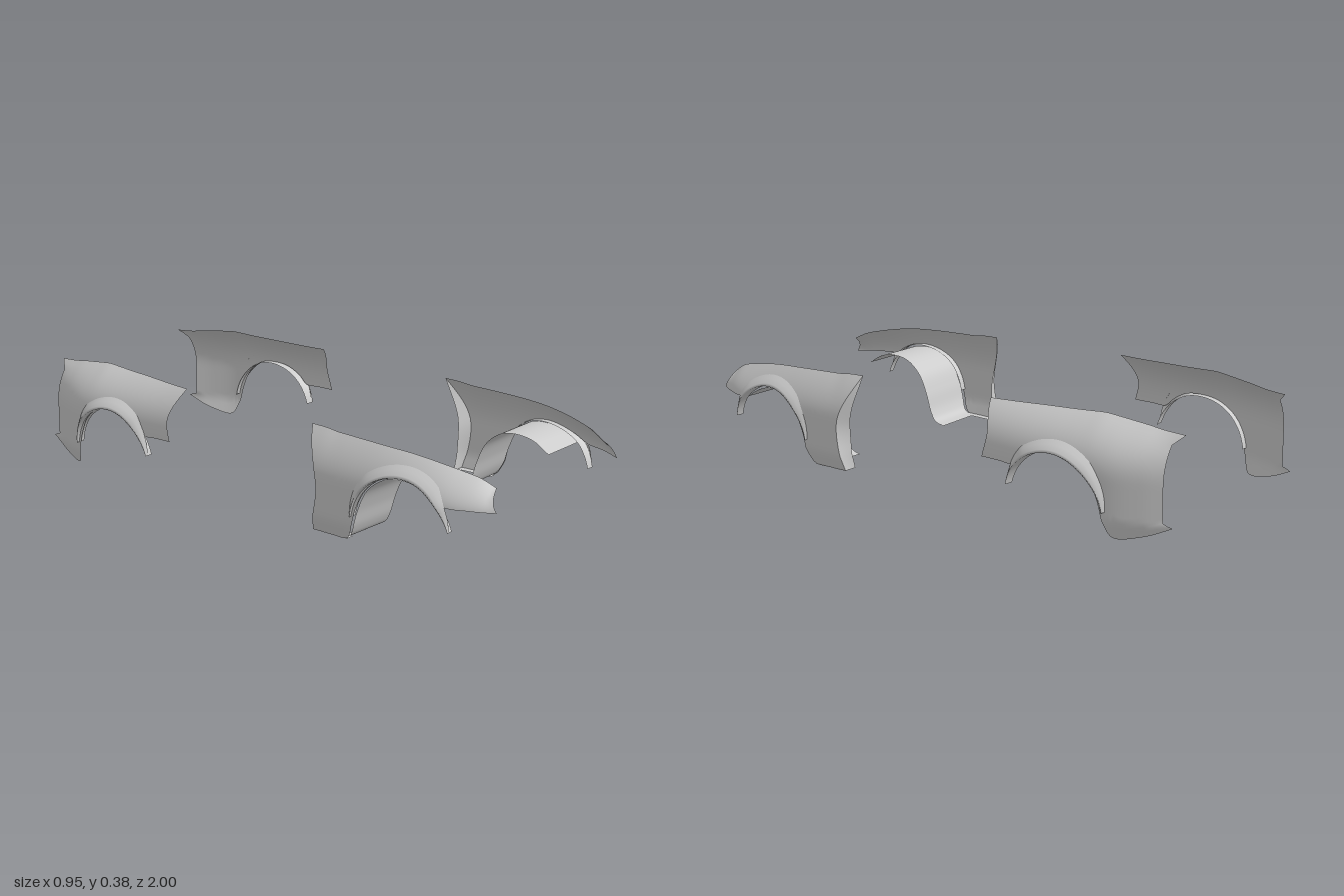
import * as THREE from 'three';

const material = new THREE.MeshStandardMaterial({ color: 0xcccccc, side: THREE.DoubleSide });

// Smooth surface from a rule fn(u, v) -> [x, y, z]
function sheet(name, nu, nv, fn) {
  const pos = [], idx = [], w = nv + 1;
  for (let i = 0; i <= nu; i++) for (let j = 0; j <= nv; j++) pos.push(...fn(i / nu, j / nv));
  for (let i = 0; i < nu; i++) for (let j = 0; j < nv; j++) {
    const a = i * w + j, b = a + w;
    idx.push(a, b, a + 1, b, b + 1, a + 1);
  }
  const geo = new THREE.BufferGeometry();
  geo.setAttribute('position', new THREE.Float32BufferAttribute(pos, 3));
  geo.setIndex(idx);
  geo.computeVertexNormals();
  const mesh = new THREE.Mesh(geo, material);
  mesh.name = name;
  return mesh;
}

// Curve through [z, y] pairs
const rail = pts => new THREE.CatmullRomCurve3(pts.map(([z, y]) => new THREE.Vector3(0, y, z)));

// Value at z from [z, value] stops listed by falling z, smoothed between stops
function plan(stops) {
  const curve = new THREE.CatmullRomCurve3(stops.map(([z, x]) => new THREE.Vector3(x, 0, z)));
  const samples = curve.getPoints(150);
  return z => {
    if (z >= samples[0].z) return samples[0].x;
    for (let i = 1; i < samples.length; i++) {
      const a = samples[i - 1], b = samples[i];
      if (z >= b.z) return a.x + (b.x - a.x) * (a.z - z) / (a.z - b.z || 1);
    }
    return samples[samples.length - 1].x;
  };
}

// Side panel position across the car: upright below, rolled inward above, tucked at the sill
function bodyRule(outer, inner, top, power) {
  return (y, z) => {
    const t = THREE.MathUtils.clamp((y - 0.19) / (top(z) - 0.19), 0, 1);
    const tuck = Math.max(0, 0.065 - y) * 0.3;
    return outer(z) - (outer(z) - inner(z)) * t ** power - tuck;
  };
}

// Panel skin spanning a lower, middle and upper rail; tab lengthens the rear corners
function panel(name, rails, bodyX, tab) {
  const curves = rails.map(rail);
  return sheet(name, 96, 20, (u, v) => {
    const section = new THREE.CatmullRomCurve3(curves.map(c => c.getPoint(u)));
    const p = section.getPoint(v);
    const corner = Math.max(0, Math.abs(2 * v - 1) - 0.8) / 0.2;
    const x = bodyX(p.y, p.z);
    return [x, p.y + (v < 0.5 ? 0.6 : 0) * tab * corner * u ** 30, p.z - tab * corner * u ** 30];
  });
}

// Wheel arch flare: inner return, lip, and a blend back into the panel
function flare(name, cz, bodyX, bulge) {
  const cy = 0.07, r = 0.189, rad = THREE.MathUtils.degToRad;
  return sheet(name, 48, 4, (u, v) => {
    const a = rad(15 + 157 * u), s = Math.sin(Math.PI * u);
    const width = 0.036 * Math.min(1, u * 4) * Math.min(1, (1 - u) * 3 + 0.15);
    const k = Math.round(v * 4);
    const rr = r + [-0.003, 0, 0.25, 0.65, 1][k] * (k ? width : 1);
    const y = cy + rr * Math.sin(a), z = cz + rr * Math.cos(a);
    const out = (bulge * (0.45 + 0.55 * s)) * [0, 1, 0.95, 0.5, 0][k];
    return [bodyX(y, z) + (k ? out : -0.022), y, z];
  });
}

function frontFender() {
  const g = new THREE.Group();
  g.name = 'frontFender';
  const low = [[1, 0.195], [0.92, 0.197], [0.845, 0.2], [0.8, 0.225], [0.74, 0.25], [0.68, 0.258], [0.6, 0.235],
    [0.55, 0.19], [0.515, 0.12], [0.495, 0.05], [0.47, 0.012], [0.4, 0.008], [0.325, 0.008]];
  const mid = [[0.985, 0.222], [0.92, 0.24], [0.848, 0.25], [0.8, 0.27], [0.74, 0.288], [0.68, 0.295], [0.6, 0.29],
    [0.545, 0.27], [0.5, 0.235], [0.465, 0.2], [0.43, 0.18], [0.385, 0.18], [0.348, 0.18]];
  const top = [[0.97, 0.26], [0.92, 0.285], [0.85, 0.303], [0.8, 0.313], [0.74, 0.323], [0.68, 0.33], [0.6, 0.335],
    [0.54, 0.338], [0.49, 0.34], [0.44, 0.342], [0.39, 0.344], [0.34, 0.35], [0.28, 0.352]];
  const outer = plan([[1, 0.365], [0.95, 0.395], [0.86, 0.43], [0.7, 0.445], [0.5, 0.448], [0.28, 0.445]]);
  const inner = plan([[0.97, 0.322], [0.88, 0.345], [0.78, 0.365], [0.6, 0.38], [0.4, 0.378], [0.28, 0.376]]);
  const bodyX = bodyRule(outer, inner, plan(top), 1.8);
  g.add(panel('frontFenderSkin', [low, mid, top], bodyX, 0));
  g.add(flare('frontArchFlare', 0.685, bodyX, 0.016));

  // Flange turned inward along the door opening
  const edge = new THREE.CatmullRomCurve3([low, mid, top].map(r => new THREE.Vector3(0, r[12][1], r[12][0])));
  g.add(sheet('doorFlange', 20, 2, (u, v) => {
    const p = edge.getPoint(u), s = Math.sin(Math.PI * u);
    return [bodyX(p.y, p.z) - 0.05 * v * (1 - u ** 3), p.y, p.z - 0.025 * v * s];
  }));

  // Sill return under the rear lower corner
  g.add(sheet('sillReturn', 4, 1, (u, v) => {
    const z = 0.325 + 0.145 * u;
    return [bodyX(0.01, z) - 0.03 * v, 0.009, z];
  }));

  // Inner wheel housing
  const arch = rail([[0.81, 0.2], [0.75, 0.236], [0.68, 0.248], [0.61, 0.235], [0.555, 0.19], [0.52, 0.12],
    [0.497, 0.05], [0.475, 0.015], [0.435, 0.003]]);
  g.add(sheet('wheelHousing', 48, 2, (u, v) => {
    const p = arch.getPoint(u);
    return [0.236 + (bodyX(p.y, p.z) - 0.008 - 0.236) * v, p.y + 0.003 * v * u, p.z];
  }));
  return g;
}

function rearFender() {
  const g = new THREE.Group();
  g.name = 'rearFender';
  const low = [[-0.31, 0.19], [-0.38, 0.19], [-0.44, 0.19], [-0.475, 0.22], [-0.53, 0.25], [-0.6, 0.258], [-0.67, 0.245],
    [-0.73, 0.2], [-0.765, 0.13], [-0.785, 0.06], [-0.81, 0.012], [-0.9, 0.025], [-0.968, 0.05]];
  const mid = [[-0.325, 0.27], [-0.39, 0.275], [-0.44, 0.275], [-0.485, 0.29], [-0.54, 0.305], [-0.6, 0.31], [-0.67, 0.3],
    [-0.74, 0.28], [-0.79, 0.24], [-0.83, 0.21], [-0.87, 0.2], [-0.92, 0.2], [-0.965, 0.2]];
  const top = [[-0.29, 0.37], [-0.38, 0.372], [-0.44, 0.374], [-0.49, 0.376], [-0.55, 0.378], [-0.61, 0.38], [-0.67, 0.383],
    [-0.72, 0.385], [-0.77, 0.38], [-0.82, 0.374], [-0.87, 0.368], [-0.92, 0.36], [-0.968, 0.355]];
  const outer = plan([[-0.29, 0.45], [-0.5, 0.453], [-0.7, 0.45], [-0.8, 0.438], [-0.9, 0.405], [-1, 0.36]]);
  const inner = plan([[-0.29, 0.376], [-0.5, 0.353], [-0.75, 0.33], [-0.9, 0.315], [-1, 0.305]]);
  const bodyX = bodyRule(outer, inner, plan(top), 2.6);
  g.add(panel('rearFenderSkin', [low, mid, top], bodyX, 0.032));
  g.add(flare('rearArchFlare', -0.6, bodyX, 0.026));
  return g;
}

export function createModel() {
  const model = new THREE.Group();
  model.name = 'fenderSet';
  for (const side of [1, -1]) {
    const half = new THREE.Group();
    half.name = side > 0 ? 'leftFenders' : 'rightFenders';
    half.add(frontFender(), rearFender());
    half.scale.x = side;
    model.add(half);
  }
  return model;
}
